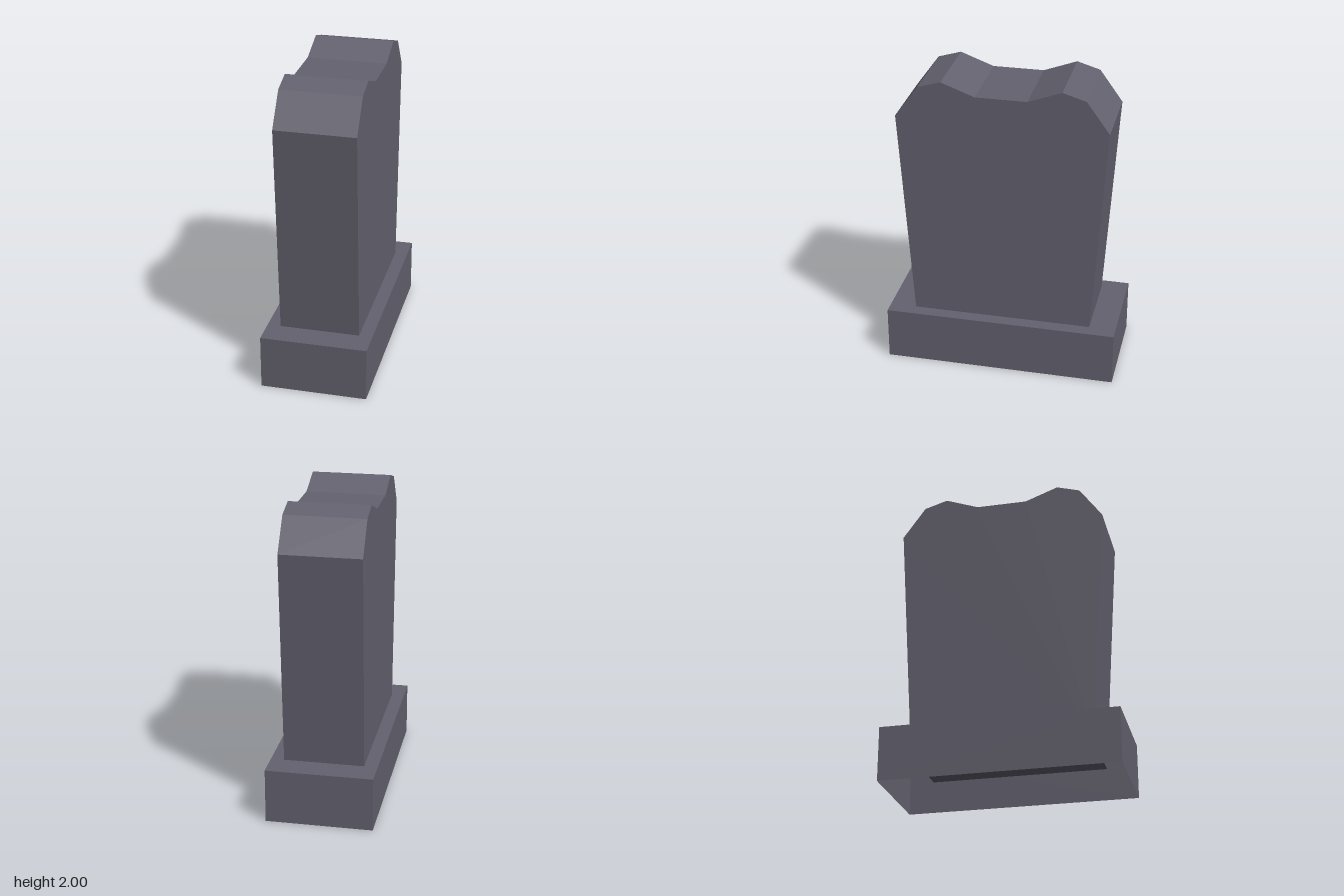
import * as THREE from 'three';

export function createModel() {
  const model = new THREE.Group();
  model.name = 'headstone';

  const stone = new THREE.MeshStandardMaterial({ color: 0x64626f, side: THREE.DoubleSide });
  stone.name = 'grey stone';

  // Plinth: a hollow box, open underneath
  const height = 0.355;
  const plinthGeometry = new THREE.BoxGeometry(0.69, height, 1.525);
  const faces = Array.from(plinthGeometry.index.array);
  faces.splice(18, 6); // drop the bottom face
  plinthGeometry.setIndex(faces);
  plinthGeometry.clearGroups();
  const plinth = new THREE.Mesh(plinthGeometry, stone);
  plinth.name = 'plinth';
  plinth.position.y = height / 2;
  model.add(plinth);

  // Slab: half outline (z, y), mirrored, its foot sunk into the plinth
  const half = [[0.577, 0.18], [0.678, 1.75], [0.53, 1.955], [0.38, 2], [0.165, 1.92]];
  const outline = [...half, ...half.map(([z, y]) => [-z, y]).reverse()];
  const thickness = 0.518;
  const slabGeometry = new THREE.ExtrudeGeometry(
    new THREE.Shape(outline.map(([z, y]) => new THREE.Vector2(z, y))),
    { depth: thickness, bevelEnabled: false }
  );
  slabGeometry.translate(0, 0, -thickness / 2);
  slabGeometry.rotateY(-Math.PI / 2);
  const slab = new THREE.Mesh(slabGeometry, stone);
  slab.name = 'slab';
  model.add(slab);

  return model;
}
